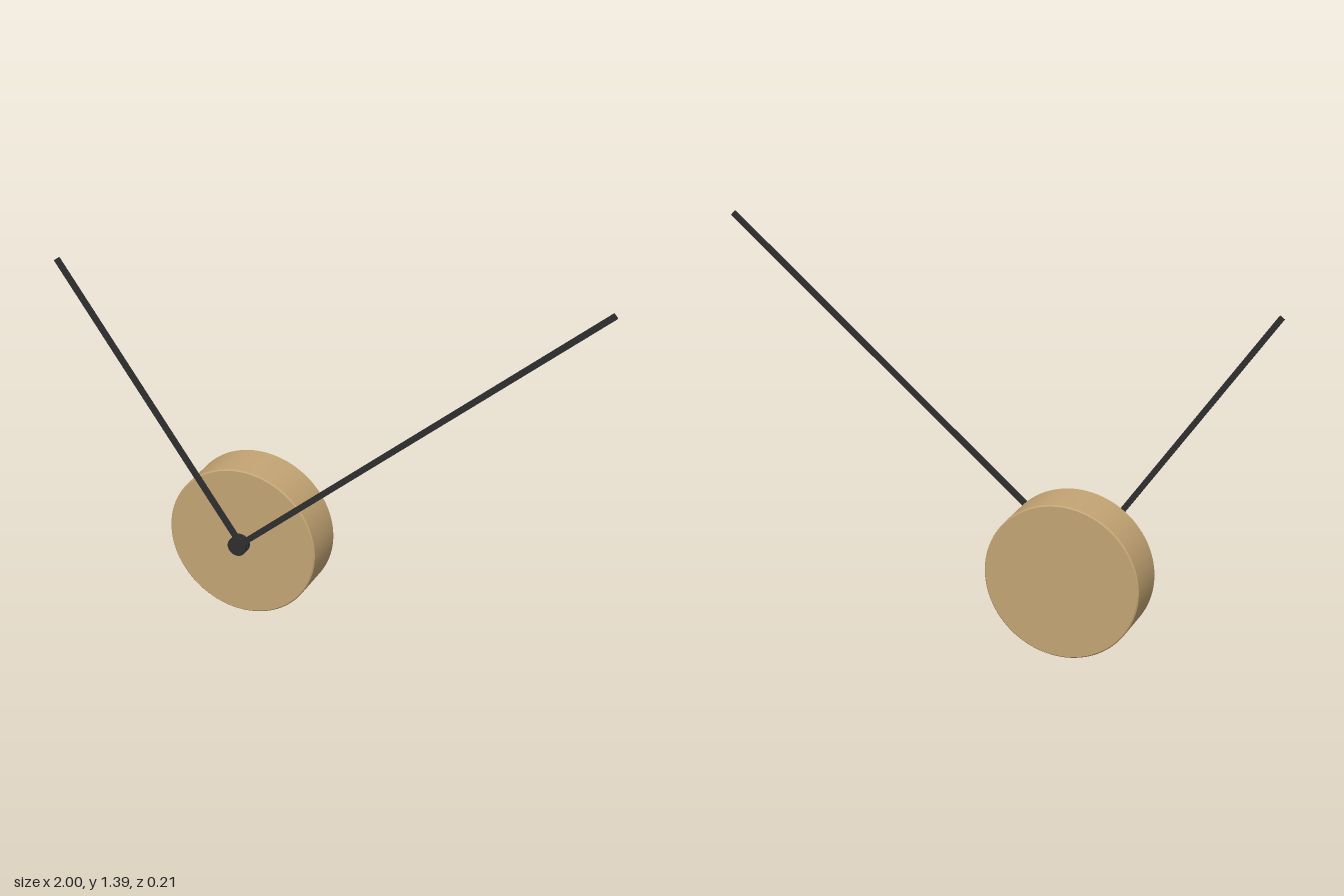
import * as THREE from 'three';

const CX = -0.32, CY = 0.28;

export function createModel() {
  const group = new THREE.Group();
  const wood = new THREE.MeshStandardMaterial({ color: 0xc4a574 });
  wood.name = 'wood';
  const black = new THREE.MeshStandardMaterial({ color: 0x2e2e2e });
  black.name = 'black metal';

  const add = (name, geometry, material, z) => {
    const mesh = new THREE.Mesh(geometry, material);
    mesh.name = name;
    mesh.position.set(CX, CY, z);
    group.add(mesh);
    return mesh;
  };

  // Round wooden body with finely chamfered rims
  const R = 0.278, B = 0.004, back = -0.106, front = 0.064;
  const rim = [[0, back], [R - B, back], [R - B, back], [R, back + B], [R, back + B],
    [R, front - B], [R, front - B], [R - B, front], [R - B, front], [0, front]];
  const body = new THREE.LatheGeometry(rim.map(([r, y]) => new THREE.Vector2(r, y)), 96);
  add('clockBody', body.rotateX(Math.PI / 2), wood, 0);

  // Centre pin carrying both hands
  const pin = new THREE.CylinderGeometry(0.015, 0.015, 0.043, 24);
  add('centrePin', pin.rotateX(Math.PI / 2), black, 0.0845);

  // Flat straight hands, each with a round boss around the pin
  const hand = (name, length, degrees, z) => {
    const boss = 0.035, half = 0.01, a = Math.asin(half / boss);
    const shape = new THREE.Shape();
    shape.moveTo(length, -half);
    shape.lineTo(length, half);
    shape.absarc(0, 0, boss, a, Math.PI * 2 - a, false);
    shape.closePath();
    const geometry = new THREE.ExtrudeGeometry(shape, { depth: 0.011, bevelEnabled: false, curveSegments: 32 });
    add(name, geometry, black, z).rotation.z = THREE.MathUtils.degToRad(degrees);
  };
  hand('hourHand', 1.177, 125, 0.072);
  hand('minuteHand', 1.713, 40, 0.095);

  return group;
}
